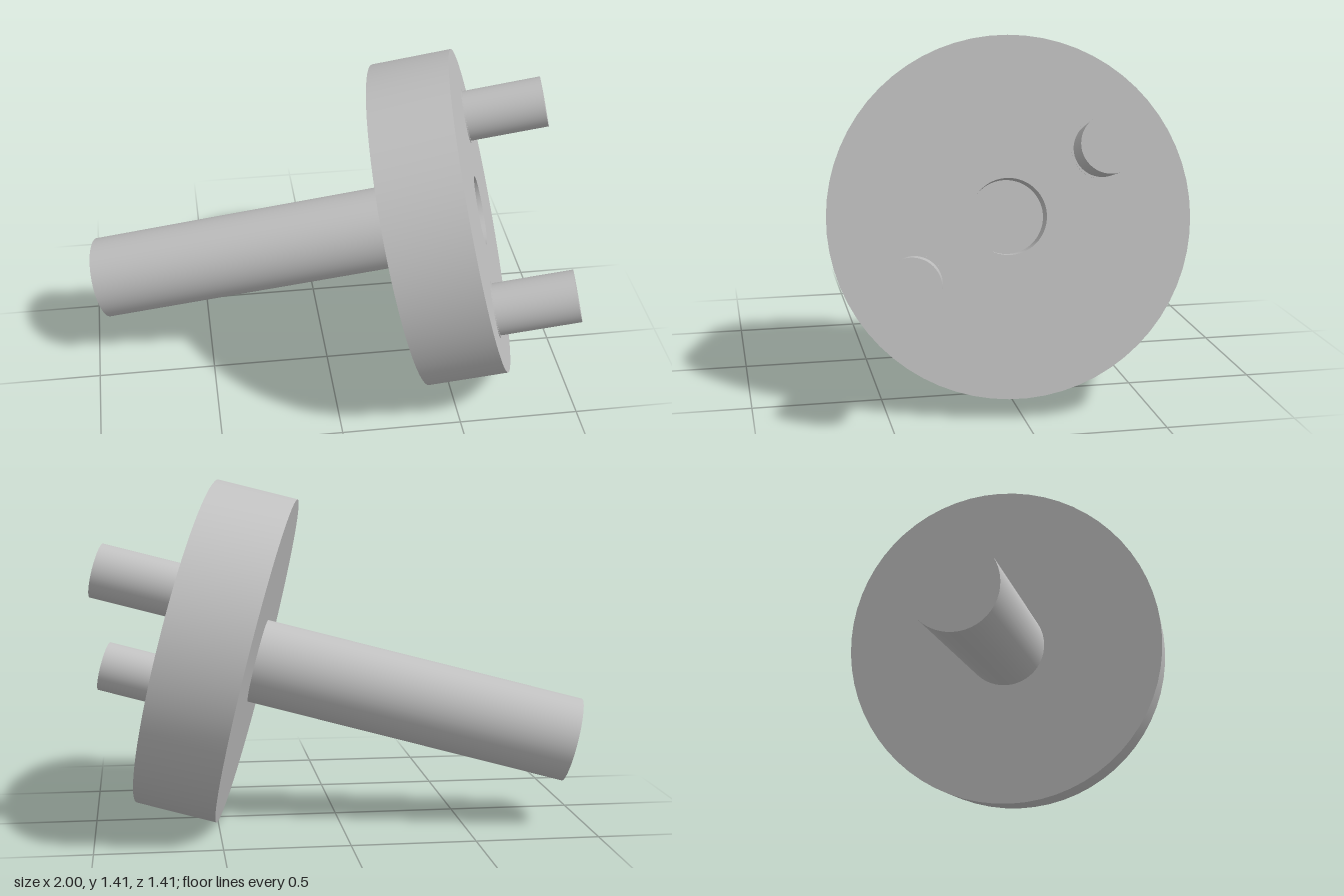
import * as THREE from 'three';
import { toCreasedNormals } from 'three/addons/utils/BufferGeometryUtils.js';

export function createModel() {
  const model = new THREE.Group();
  model.name = 'crankDisc';
  const steel = new THREE.MeshStandardMaterial({ color: 0xc0c0c0 });
  steel.name = 'light grey';

  // Tilted frame: local z runs along the shaft, origin at the centre of the disc's back face
  const axis = new THREE.Vector3(1, 0.25, 0.175).normalize();
  const side = new THREE.Vector3(0, 1, 0).cross(axis).normalize();
  const up = axis.clone().cross(side);
  const tilted = new THREE.Group();
  tilted.name = 'tiltedAssembly';
  tilted.quaternion.setFromRotationMatrix(new THREE.Matrix4().makeBasis(side, up, axis));
  tilted.position.set(0.325, 0.67, -0.028);
  model.add(tilted);

  const add = (name, geometry) => {
    const mesh = new THREE.Mesh(geometry, steel);
    mesh.name = name;
    tilted.add(mesh);
    return mesh;
  };
  // Round bar along local z between two heights
  const bar = (name, radius, z0, z1, x = 0, y = 0) => {
    const geometry = new THREE.CylinderGeometry(radius, radius, z1 - z0, 48);
    geometry.rotateX(Math.PI / 2);
    add(name, geometry).position.set(x, y, (z0 + z1) / 2);
  };

  // Disc with a blind hole in the centre of its front face
  const R = 0.685, T = 0.335, hole = 0.145, floor = 0.085;
  const profile = [[0, 0], [R, 0], [R, T], [hole, T], [hole, floor], [0, floor]]
    .map(([r, z]) => new THREE.Vector2(r, z));
  const disc = new THREE.LatheGeometry(profile, 64);
  disc.rotateX(Math.PI / 2);
  add('disc', toCreasedNormals(disc, Math.PI / 5));

  // Shaft behind the disc
  bar('shaft', 0.174, -1.335, 0.04);

  // Two opposite drive pins, each with a barely raised seat
  for (const [name, s] of [['upper', 1], ['lower', -1]]) {
    const x = s * 0.3546, y = s * 0.2546;
    bar(name + 'Pin', 0.108, 0.1, T + 0.337, x, y);
    bar(name + 'PinSeat', 0.116, T - 0.05, T + 0.003, x, y);
  }
  return model;
}
